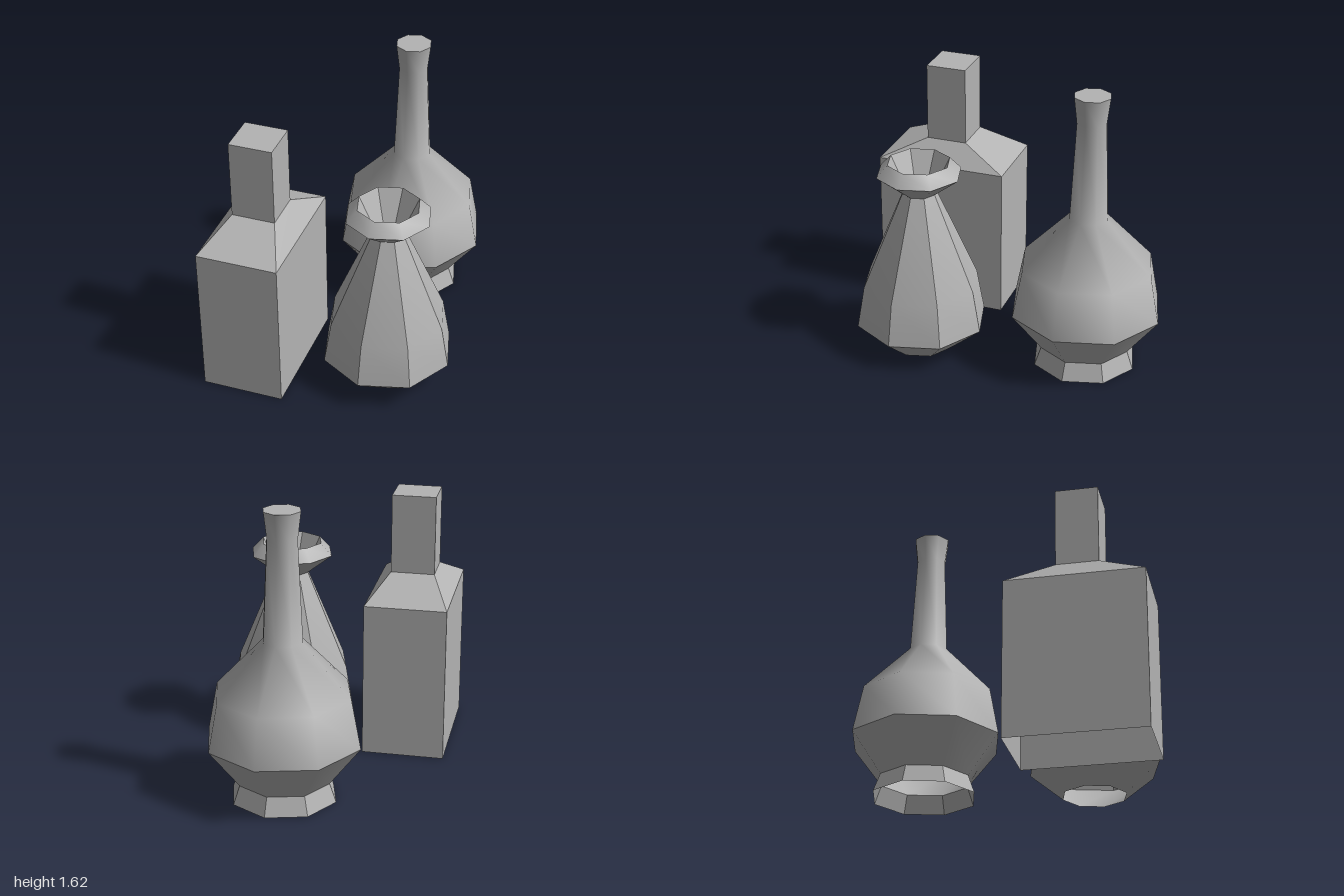
import * as THREE from 'three';
import { toCreasedNormals } from 'three/addons/utils/BufferGeometryUtils.js';

const glass = new THREE.MeshStandardMaterial({ color: 0xb3b3b3, side: THREE.DoubleSide });
glass.name = 'grey glass';

function addMesh(group, name, geometry) {
  const mesh = new THREE.Mesh(geometry, glass);
  mesh.name = name;
  group.add(mesh);
  return mesh;
}

// Eight-sided turned shape with flat sides facing the axes.
// Profile entries are [half width across the flats, height].
function octagonal(profile, crease) {
  const points = profile.map(([r, y]) => new THREE.Vector2(r / Math.cos(Math.PI / 8), y));
  const geometry = new THREE.LatheGeometry(points, 8, Math.PI / 8);
  return crease === undefined ? geometry : toCreasedNormals(geometry, crease);
}

// Flat-faced walls through rectangular sections [y, width, depth], capped at the top.
function rectangularLoft(sections) {
  const corner = ([y, w, d], i) => {
    const [sx, sz] = [[-1, 1], [1, 1], [1, -1], [-1, -1]][i % 4];
    return [sx * w / 2, y, sz * d / 2];
  };
  const positions = [];
  const quad = (a, b, c, d) => positions.push(...a, ...b, ...c, ...a, ...c, ...d);
  for (let s = 0; s < sections.length - 1; s++) {
    for (let i = 0; i < 4; i++) {
      quad(corner(sections[s], i), corner(sections[s], i + 1),
        corner(sections[s + 1], i + 1), corner(sections[s + 1], i));
    }
  }
  const top = sections[sections.length - 1];
  quad(corner(top, 0), corner(top, 1), corner(top, 2), corner(top, 3));
  const geometry = new THREE.BufferGeometry();
  geometry.setAttribute('position', new THREE.Float32BufferAttribute(positions, 3));
  geometry.computeVertexNormals();
  return geometry;
}

function createSquareBottle() {
  const group = new THREE.Group();
  group.name = 'squareBottle';
  addMesh(group, 'body', rectangularLoft([
    [0, 0.765, 0.47], [0.895, 0.765, 0.47], [1.02, 0.237, 0.25], [1.475, 0.237, 0.25],
  ]));
  group.position.set(-0.55, 0, -0.257);
  group.rotation.y = Math.PI / 6;
  return group;
}

function createVase() {
  const group = new THREE.Group();
  group.name = 'flaredVase';
  const crease = THREE.MathUtils.degToRad(40);
  // Tapered body, open underneath
  addMesh(group, 'body', octagonal([[0.17, 0], [0.35, 0.165], [0.31, 0.41], [0.09, 0.97]], crease));
  // Flared lip turning inwards
  addMesh(group, 'lip', octagonal([[0.09, 0.97], [0.225, 1.085], [0.165, 1.155]], crease));
  // Pointed hollow inside the mouth
  addMesh(group, 'mouth', octagonal([[0.165, 1.155], [0, 0.8]], 0.1));
  group.position.set(-0.135, 0, 0.33);
  return group;
}

function createFlask() {
  const group = new THREE.Group();
  group.name = 'roundFlask';
  addMesh(group, 'foot', octagonal([[0.278, 0], [0.243, 0.105]], 0.1));
  addMesh(group, 'lowerBowl', octagonal([[0.243, 0.105], [0.405, 0.335]]));
  // Softly shaded bowl running up into the neck
  addMesh(group, 'bowlAndNeck', octagonal([
    [0.405, 0.335], [0.355, 0.61], [0.105, 0.9], [0.08, 1.47], [0.097, 1.62],
  ]));
  // Flat closed top
  addMesh(group, 'top', octagonal([[0.097, 1.62], [0, 1.62]], 0.1));
  group.position.set(0.595, 0, -0.278);
  return group;
}

export function createModel() {
  const model = new THREE.Group();
  model.name = 'bottles';
  model.add(createSquareBottle(), createVase(), createFlask());
  return model;
}
